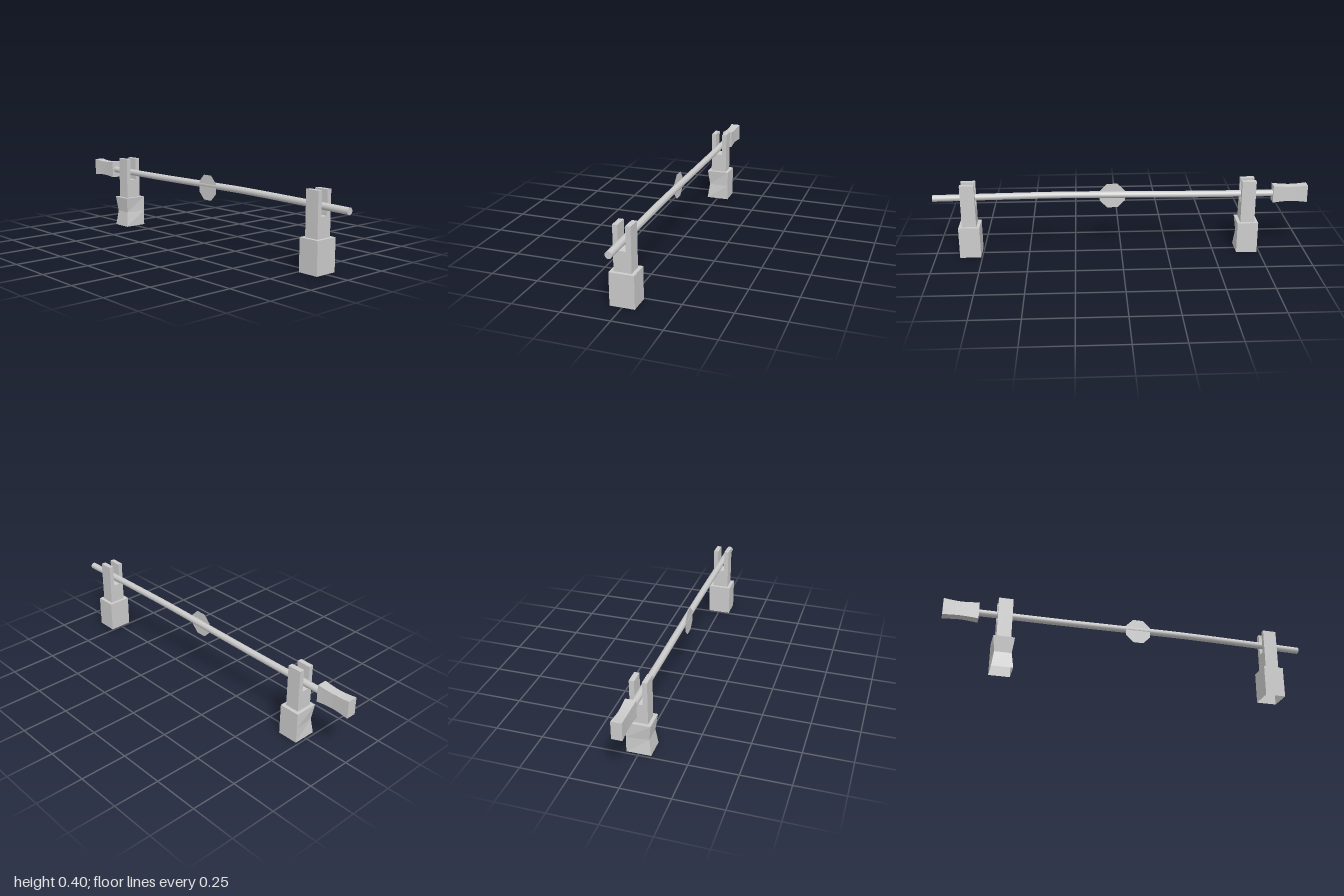
import * as THREE from 'three';

const flat = new THREE.MeshStandardMaterial({ color: 0xcccccc, flatShading: true, side: THREE.DoubleSide });
const smooth = new THREE.MeshStandardMaterial({ color: 0xcccccc });

function addMesh(parent, name, geometry, material = flat) {
  const mesh = new THREE.Mesh(geometry, material);
  mesh.name = name;
  parent.add(mesh);
  return mesh;
}

// Moves every vertex of a geometry by a rule
function reshape(geometry, rule) {
  const p = geometry.attributes.position;
  const v = new THREE.Vector3();
  for (let i = 0; i < p.count; i++) {
    rule(v.fromBufferAttribute(p, i));
    p.setXYZ(i, v.x, v.y, v.z);
  }
  geometry.computeVertexNormals();
  return geometry;
}

// Foot block, open underneath; one side can be pinched at mid height
function footGeometry(pinch) {
  const g = new THREE.BoxGeometry(0.126, 0.17, 0.112, 1, 2, 1);
  const index = Array.from(g.index.array);
  index.splice(30, 6); // drop the bottom face
  g.setIndex(index);
  g.clearGroups();
  return reshape(g, (v) => {
    if (Math.abs(v.y) < 0.01 && v.x < 0) {
      v.x += pinch;
      v.z -= Math.sign(v.z) * pinch;
    }
  });
}

// Forked upright with a slot for the rod
function forkGeometry() {
  const outline = [[-0.045, 0.17], [0.044, 0.17], [0.044, 0.4], [0.018, 0.4],
    [0.018, 0.275], [-0.02, 0.275], [-0.02, 0.4], [-0.045, 0.4]];
  const shape = new THREE.Shape(outline.map(([x, y]) => new THREE.Vector2(x, y)));
  return new THREE.ExtrudeGeometry(shape, { depth: 0.076, bevelEnabled: false }).translate(0, 0, -0.038);
}

function createStand(name, z, pinch) {
  const stand = new THREE.Group();
  stand.name = name;
  addMesh(stand, 'foot', footGeometry(pinch)).position.y = 0.085;
  addMesh(stand, 'fork', forkGeometry());
  stand.position.z = z;
  return stand;
}

export function createModel() {
  const model = new THREE.Group();
  model.name = 'rodOnStands';

  model.add(createStand('frontStand', 0.813, 0));
  model.add(createStand('backStand', -0.68, 0.011));

  // Long rod, bowed slightly upward
  const path = new THREE.CatmullRomCurve3(
    [[0.32, 1], [0.325, 0.65], [0.328, 0.3], [0.324, -0.05], [0.32, -0.4], [0.319, -0.83]]
      .map(([y, z]) => new THREE.Vector3(0, y, z)));
  addMesh(model, 'rod', new THREE.TubeGeometry(path, 24, 0.018, 12), smooth);
  const cap = addMesh(model, 'rodEnd', new THREE.CircleGeometry(0.018, 12), smooth);
  cap.position.set(0, 0.32, 1);

  // Handle with a narrowed waist
  const handle = reshape(new THREE.BoxGeometry(0.054, 0.094, 0.185, 1, 1, 6), (v) => {
    const waist = Math.cos((v.z / 0.0925) * Math.PI / 2);
    v.x *= 1 - 0.12 * waist;
    v.y *= 1 - 0.14 * waist;
  });
  addMesh(model, 'handle', handle).position.set(0, 0.32, -0.9075);

  // Thin octagonal plate beside the rod
  const plate = addMesh(model, 'plate', new THREE.CircleGeometry(0.073, 8, Math.PI / 8));
  plate.rotation.y = Math.PI / 2;
  plate.position.set(-0.016, 0.313, 0.047);

  return model;
}
